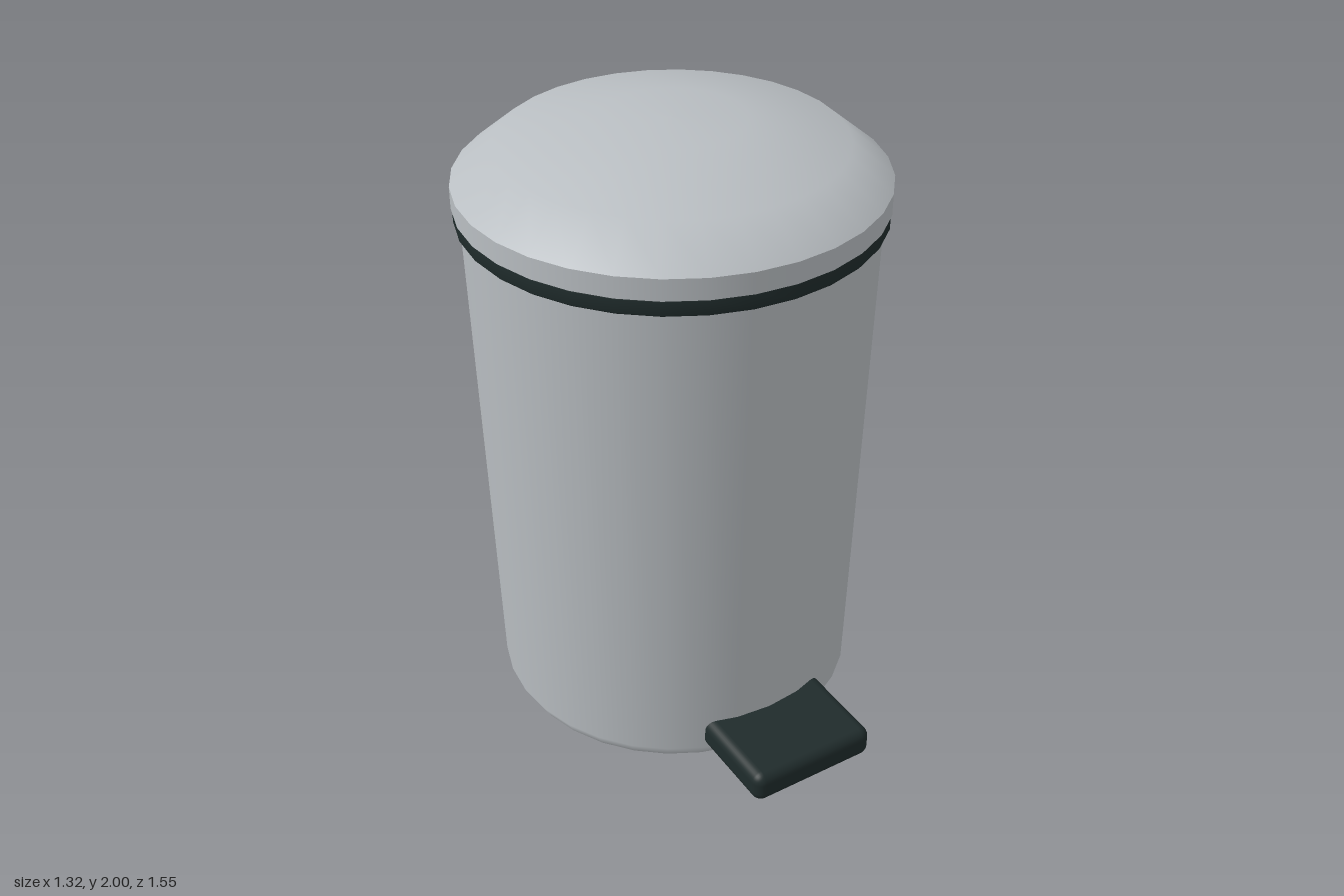
import * as THREE from 'three';
import { RoundedBoxGeometry } from 'three/addons/geometries/RoundedBoxGeometry.js';

const steel = new THREE.MeshStandardMaterial({ name: 'brushedSteel', color: 0xb9bec2 });
const rubber = new THREE.MeshStandardMaterial({ name: 'darkPlastic', color: 0x1f2b2b });

const AXIS_Z = -0.085; // bin axis, set back to leave room for the pedal
const SIDES = 32;

export function createModel() {
  const bin = new THREE.Group();
  bin.name = 'pedalBin';

  const add = (name, geometry, material, x, y, z) => {
    const mesh = new THREE.Mesh(geometry, material);
    mesh.name = name;
    mesh.position.set(x, y, z);
    bin.add(mesh);
  };

  // Turned part; a repeated profile point makes a sharp edge
  const turned = (name, profile, material) => {
    const points = profile.map(([r, y]) => new THREE.Vector2(r, y));
    add(name, new THREE.LatheGeometry(points, SIDES), material, 0, 0, AXIS_Z);
  };

  // Rounded block given by its extents
  const block = (name, halfWidth, y0, y1, z0, z1, radius) => {
    const geometry = new RoundedBoxGeometry(halfWidth * 2, y1 - y0, z1 - z0, 4, radius);
    add(name, geometry, rubber, 0, (y0 + y1) / 2, (z0 + z1) / 2);
  };

  // Tapered bucket with a small chamfer at the foot
  turned('body', [
    [0, 0], [0.57, 0], [0.57, 0], [0.594, 0.045], [0.638, 1.73],
  ], steel);

  // Dark sealing ring under the lid
  turned('rimBand', [
    [0.62, 1.705], [0.65, 1.705], [0.65, 1.705], [0.656, 1.712],
    [0.656, 1.752], [0.65, 1.758], [0.65, 1.758], [0.62, 1.758],
  ], rubber);

  // Domed lid with a short upright skirt
  turned('lid', [
    [0, 1.757], [0.66, 1.757], [0.66, 1.757], [0.66, 1.825], [0.66, 1.825],
    [0.53, 1.932], [0.225, 1.997], [0, 2],
  ], steel);

  block('pedal', 0.22, 0.048, 0.155, 0.38, 0.775, 0.035);
  block('hinge', 0.153, 1.64, 1.765, -0.775, -0.63, 0.03);

  return bin;
}
